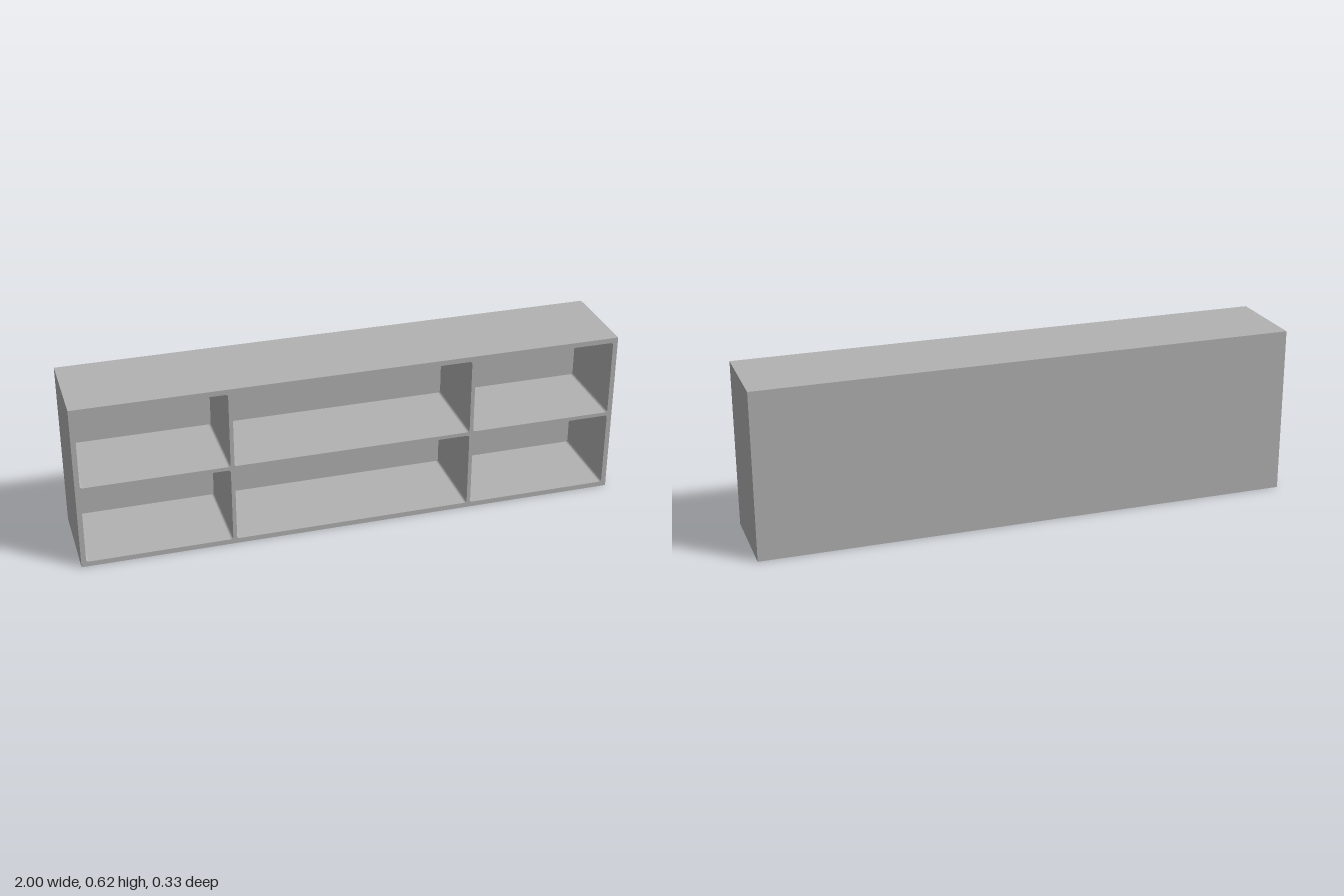
import * as THREE from 'three';

const WIDTH = 2, HEIGHT = 0.624, DEPTH = 0.334, BACK = 0.01;
const CORNER = 0.01;

// Rectangular opening with slightly rounded corners
function roundedOpening(x0, x1, y0, y1, r) {
  const p = new THREE.Path();
  p.moveTo(x0 + r, y0);
  p.lineTo(x1 - r, y0);
  p.absarc(x1 - r, y0 + r, r, -Math.PI / 2, 0, false);
  p.lineTo(x1, y1 - r);
  p.absarc(x1 - r, y1 - r, r, 0, Math.PI / 2, false);
  p.lineTo(x0 + r, y1);
  p.absarc(x0 + r, y1 - r, r, Math.PI / 2, Math.PI, false);
  p.lineTo(x0, y0 + r);
  p.absarc(x0 + r, y0 + r, r, Math.PI, Math.PI * 1.5, false);
  return p;
}

export function createModel() {
  const model = new THREE.Group();
  model.name = 'shelfUnit';
  const grey = new THREE.MeshStandardMaterial({ color: 0xb2b2b2 });
  grey.name = 'grey';

  // Outer case, dividers and shelf as one frame with six openings
  const outline = new THREE.Shape();
  outline.moveTo(-WIDTH / 2, 0);
  outline.lineTo(WIDTH / 2, 0);
  outline.lineTo(WIDTH / 2, HEIGHT);
  outline.lineTo(-WIDTH / 2, HEIGHT);
  outline.closePath();

  const columns = [[-0.982, -0.452], [-0.438, 0.438], [0.452, 0.982]];
  const rows = [[0.019, 0.305], [0.319, 0.605]];
  for (const [x0, x1] of columns) {
    for (const [y0, y1] of rows) {
      outline.holes.push(roundedOpening(x0, x1, y0, y1, CORNER));
    }
  }

  const frame = new THREE.Mesh(
    new THREE.ExtrudeGeometry(outline, { depth: DEPTH - BACK, bevelEnabled: false, curveSegments: 6 }),
    grey
  );
  frame.name = 'shelfFrame';
  frame.position.z = -DEPTH / 2 + BACK;
  model.add(frame);

  // Thin panel closing the back
  const back = new THREE.Mesh(new THREE.BoxGeometry(WIDTH, HEIGHT, BACK), grey);
  back.name = 'backPanel';
  back.position.set(0, HEIGHT / 2, -DEPTH / 2 + BACK / 2);
  model.add(back);

  return model;
}
